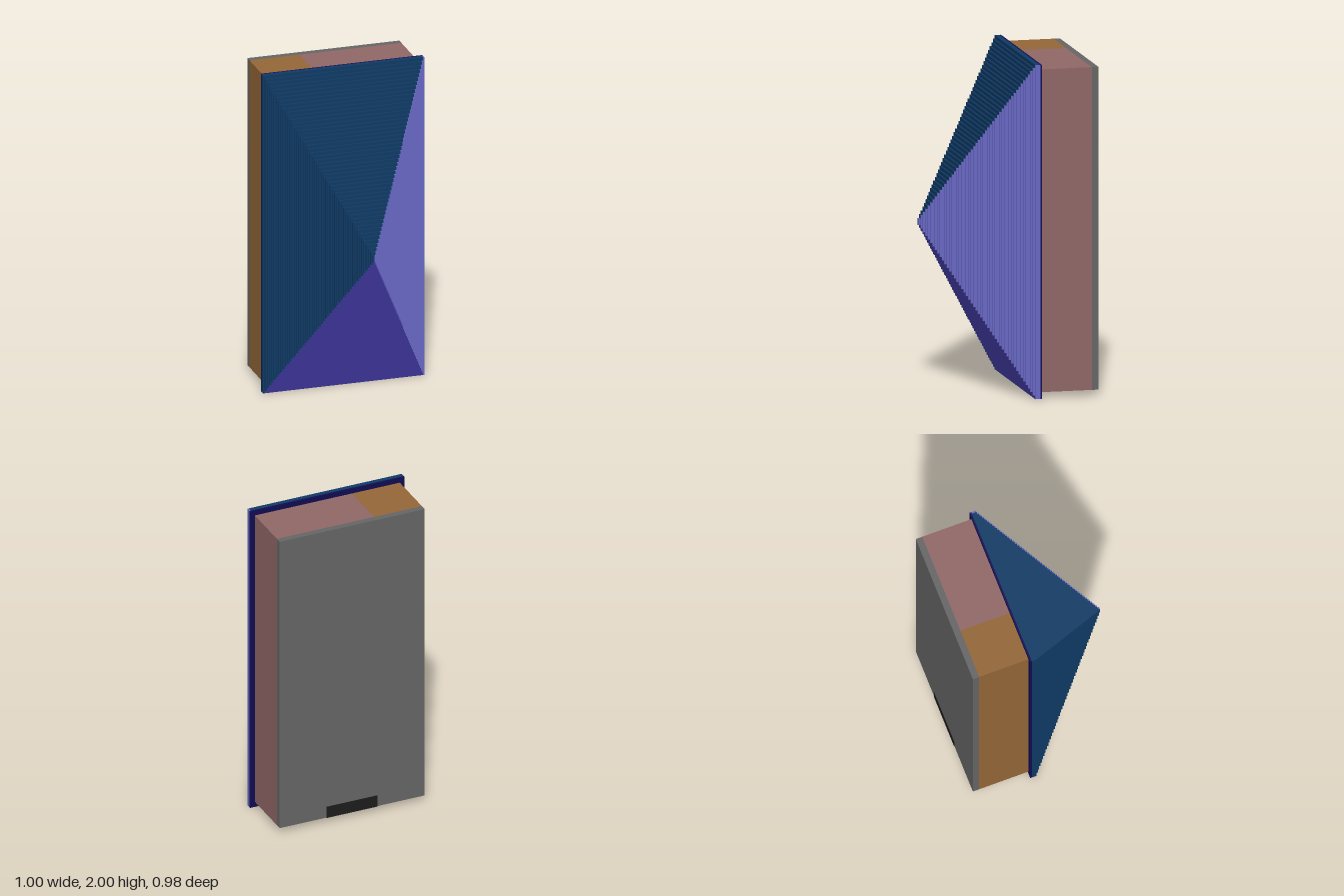
import * as THREE from 'three';
import { mergeGeometries } from 'three/addons/utils/BufferGeometryUtils.js';

const mat = (name, color) => {
  const m = new THREE.MeshStandardMaterial({ color });
  m.name = name;
  return m;
};

// Box given by its minimum and maximum corners
function span(x0, x1, y0, y1, z0, z1) {
  return new THREE.BoxGeometry(x1 - x0, y1 - y0, z1 - z0)
    .translate((x0 + x1) / 2, (y0 + y1) / 2, (z0 + z1) / 2);
}

export function createModel() {
  const group = new THREE.Group();
  group.name = 'steppedPyramidPanel';
  const blue = mat('deep blue', 0x0f3a66);
  const lavender = mat('lavender', 0x6a68c6);
  const purple = mat('purple', 0x3c3496);
  const navy = mat('navy', 0x100c52);
  const pink = mat('dusty rose', 0x916767);
  const brown = mat('brown', 0x946738);
  const grey = mat('grey', 0x666666);
  const black = mat('black', 0x1c1c1c);

  const add = (name, geometry, material) => {
    const mesh = new THREE.Mesh(geometry, material);
    mesh.name = name;
    group.add(mesh);
  };

  // Stepped pyramid: nested rings of four bars, each ring narrower and taller
  const STEPS = 50, DX = 0.01, DY = 0.02, DZ = 0.012, BACK = -0.13;
  const bars = { left: [], right: [], top: [], bottom: [] };
  for (let i = 0; i < STEPS; i++) {
    const hx = 0.5 - i * DX, hy = 1 - i * DY, front = -0.1 + i * DZ;
    const inner = hx - DX;
    bars.left.push(span(inner, hx, 1 - hy, 1 + hy, BACK, front));
    bars.right.push(span(-hx, -inner, 1 - hy, 1 + hy, BACK, front));
    if (i === STEPS - 1) continue; // the tip is closed by its side bars
    bars.top.push(span(-inner, inner, 1 + hy - DY, 1 + hy, BACK, front));
    bars.bottom.push(span(-inner, inner, 1 - hy, 1 - hy + DY, BACK, front));
  }
  add('leftSteps', mergeGeometries(bars.left), lavender);
  add('rightSteps', mergeGeometries(bars.right), blue);
  add('topSteps', mergeGeometries(bars.top), blue);
  add('bottomSteps', mergeGeometries(bars.bottom), purple);

  // Plate behind the pyramid
  add('backingPlate', span(-0.5, 0.5, 0, 2, -0.14, BACK), navy);

  // Two-tone case and its rear cover
  const Y0 = 0.035, Y1 = 1.968;
  add('caseLeft', span(-0.16, 0.47, Y0, Y1, -0.45, -0.14), pink);
  add('caseRight', span(-0.47, -0.16, Y0, Y1, -0.45, -0.14), brown);
  add('rearCover', span(-0.47, 0.47, Y0, Y1, -0.49, -0.45), grey);

  // Round socket in the underside, cut off at the rear cover
  const socket = new THREE.Shape();
  socket.absarc(0, -0.405, 0.186, -0.487, Math.PI + 0.487, false);
  const socketGeometry = new THREE.ExtrudeGeometry(socket, {
    depth: 0.075, bevelEnabled: false, curveSegments: 32,
  }).rotateX(Math.PI / 2).translate(0, Y0 + 0.073, 0);
  add('socket', socketGeometry, black);

  return group;
}
